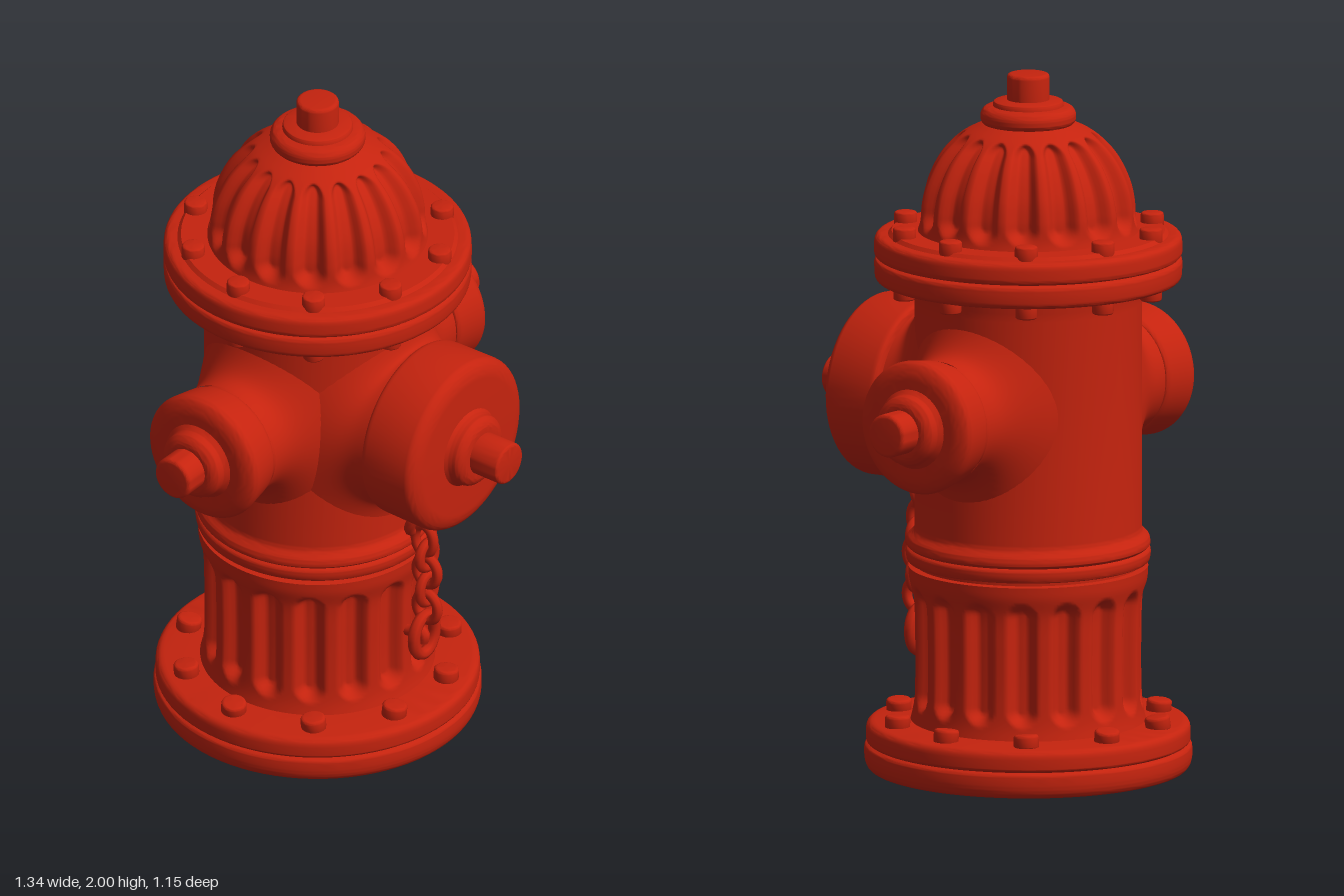
import * as THREE from 'three';
import { toCreasedNormals } from 'three/addons/utils/BufferGeometryUtils.js';

const red = new THREE.MeshStandardMaterial({ color: 0xc5230e });
red.name = 'hydrant red';

const AXIS_Z = -0.11;
const BODY_R = 0.32;

function add(parent, name, geometry) {
  const mesh = new THREE.Mesh(geometry, red);
  mesh.name = name;
  parent.add(mesh);
  return mesh;
}

// Turned solid from [radius, height, corner rounding] points
function turned(profile, segments = 64) {
  const pts = [];
  profile.forEach(([r, y, b = 0], i) => {
    const p = new THREE.Vector2(r, y);
    if (!b) return pts.push(p);
    const toward = ([qr, qy]) => {
      const d = new THREE.Vector2(qr, qy).sub(p);
      return p.clone().addScaledVector(d.clone().normalize(), Math.min(b, d.length() * 0.5));
    };
    const a = toward(profile[i - 1]), c = toward(profile[i + 1]);
    pts.push(...new THREE.QuadraticBezierCurve(a, p, c).getPoints(5));
  });
  return toCreasedNormals(new THREE.LatheGeometry(pts, segments), 0.6);
}

// Turned shell with 16 capsule-shaped flutes pressed in between y0 and y1
function fluted(curvePoints, y0, y1, depth, width) {
  const curve = new THREE.CatmullRomCurve3(curvePoints.map(([r, y]) => new THREE.Vector3(r, y, 0)));
  const pts = curve.getSpacedPoints(56).map(p => new THREE.Vector2(p.x, p.y));
  const geo = new THREE.LatheGeometry(pts, 256);
  const pos = geo.attributes.position;
  const pitch = Math.PI / 8;
  for (let i = 0; i < pos.count; i++) {
    const x = pos.getX(i), y = pos.getY(i), z = pos.getZ(i);
    const r = Math.hypot(x, z);
    const phi = (Math.atan2(x, z) + Math.PI * 2) % pitch;
    const across = (phi - pitch / 2) * r;
    const w = width * Math.min(1, r / 0.3);
    const along = Math.max(y0 + w - y, y - (y1 - w), 0);
    const k = 1 - THREE.MathUtils.smoothstep(Math.hypot(across, along) / w, 0.35, 1);
    const s = 1 - depth * k / r;
    pos.setXYZ(i, x * s, y, z * s);
  }
  geo.computeVertexNormals();
  return geo;
}

// Flared neck that blends from the barrel out to radius R at distance L
function neckGeometry(R, flare, L) {
  const pts = [];
  for (let i = 0; i <= 16; i++) pts.push(new THREE.Vector2(1, i / 16));
  const geo = new THREE.LatheGeometry(pts, 72);
  const pos = geo.attributes.position;
  for (let i = 0; i < pos.count; i++) {
    const t = pos.getY(i);
    const rho = R + flare * (1 - t) ** 3;
    const x = pos.getX(i) * rho, z = pos.getZ(i) * rho;
    const surface = Math.sqrt(BODY_R ** 2 - x * x) - 0.004;
    pos.setXYZ(i, x, surface + (L - surface) * t, z);
  }
  geo.computeVertexNormals();
  return geo;
}

// Outlet facing +z: neck, cap, washer and nut
function outlet(name, y, turn, o) {
  const group = new THREE.Group();
  group.name = name;
  group.position.y = y;
  group.rotation.y = turn;
  const { R, flare, neck, capIn, capOut, end, washer, tip } = o;
  add(group, 'outletNeck', neckGeometry(R, flare, neck));
  add(group, 'outletCap', turned([
    [0, neck - 0.02], [R - 0.01, neck - 0.02], [R - 0.01, neck + 0.006], [capIn, neck + 0.006, 0.02],
    [capOut, end - 0.02, 0.02], [capOut - 0.035, end, 0.02], [0, end]]));
  add(group, 'capNut', turned([
    [0.125, end - 0.01], [washer, end + 0.012, 0.01], [washer, end + 0.035, 0.012],
    [washer - 0.022, end + 0.05, 0.008], [0.062, end + 0.05], [0.062, tip, 0.012], [0, tip]], 40));
  group.children.forEach(m => { m.rotation.x = Math.PI / 2; });
  return group;
}

function boltRing(parent, name, count, radius, y, size, height, tilt = 0) {
  const geo = turned([[0, -height / 2], [size, -height / 2, 0.008], [size, height / 2, 0.01], [0, height / 2]], 16);
  for (let i = 0; i < count; i++) {
    const a = (i / count) * Math.PI * 2;
    const bolt = add(parent, name, geo);
    bolt.position.set(Math.cos(a) * radius, y, Math.sin(a) * radius);
    bolt.rotation.set(tilt * Math.sin(i * 3), 0, tilt * Math.cos(i * 5));
  }
}

// Oval chain link, long axis vertical
function link(parent, y, z, side, half, wide, tube, lean = 0) {
  const pts = [];
  for (let i = 0; i < 12; i++) {
    const a = (i / 12) * Math.PI * 2;
    pts.push(new THREE.Vector3(Math.cos(a) * wide, Math.sin(a) * half, 0));
  }
  const mesh = add(parent, 'chainLink',
    new THREE.TubeGeometry(new THREE.CatmullRomCurve3(pts, true), 32, tube, 8, true));
  mesh.position.set(0, y, z);
  mesh.rotation.set(lean, side ? Math.PI / 2 : 0, 0);
}

export function createModel() {
  const model = new THREE.Group();
  model.name = 'fireHydrant';
  const body = new THREE.Group();
  body.name = 'hydrantBody';
  body.position.z = AXIS_Z;
  model.add(body);

  // Double base plate
  add(body, 'basePlate', turned([
    [0, 0.005], [0.45, 0.005, 0.015], [0.462, 0.03, 0.015], [0.462, 0.075, 0.012], [0.447, 0.08],
    [0.457, 0.085, 0.006], [0.457, 0.142, 0.025], [0.3, 0.147], [0, 0.147]], 80));
  boltRing(body, 'baseBolt', 10, 0.385, 0.157, 0.036, 0.04, 0.12);

  // Fluted lower barrel
  add(body, 'lowerBarrel', fluted([
    [0.335, 0.13], [0.324, 0.18], [0.32, 0.25], [0.32, 0.4], [0.324, 0.5], [0.336, 0.555], [0.338, 0.588]],
    0.18, 0.54, 0.034, 0.046));

  // Upper barrel with its collar
  add(body, 'upperBarrel', turned([
    [0.3, 0.585], [0.338, 0.587], [0.318, 0.59], [0.318, 0.6], [0.342, 0.602, 0.008], [0.347, 0.635, 0.02],
    [0.335, 0.642], [0.345, 0.65, 0.005], [0.342, 0.672, 0.01], [0.32, 0.69, 0.015], [BODY_R, 1.36, 0.02],
    [0.328, 1.42]], 80));

  // Double top flange
  add(body, 'topFlange', turned([
    [0.3, 1.408], [0.432, 1.408, 0.018], [0.435, 1.47, 0.018], [0.415, 1.475],
    [0.435, 1.48, 0.014], [0.433, 1.54, 0.022], [0.395, 1.54], [0.385, 1.55], [0, 1.55]], 80));
  boltRing(body, 'upperFlangeBolt', 10, 0.365, 1.556, 0.033, 0.046);
  boltRing(body, 'lowerFlangeBolt', 10, 0.365, 1.395, 0.031, 0.05);

  // Fluted dome
  add(body, 'dome', fluted([
    [0.315, 1.535], [0.306, 1.57], [0.302, 1.63], [0.288, 1.69], [0.25, 1.765], [0.195, 1.822],
    [0.14, 1.852], [0.1, 1.868]], 1.56, 1.835, 0.034, 0.05));

  // Operating nut on top
  add(body, 'topNut', turned([
    [0.12, 1.85], [0.135, 1.866, 0.008], [0.135, 1.89, 0.01], [0.122, 1.905, 0.008], [0.1, 1.908],
    [0.098, 1.922, 0.006], [0.06, 1.926], [0.06, 2.0, 0.012], [0, 2.0]], 40));

  // Large front outlet and two side outlets
  body.add(outlet('frontOutlet', 1.047, 0,
    { R: 0.24, flare: 0.07, neck: 0.345, capIn: 0.258, capOut: 0.261, end: 0.54, washer: 0.106, tip: 0.685 }));
  for (const [name, side] of [['leftOutlet', 1], ['rightOutlet', -1]]) {
    body.add(outlet(name, 1.067, side * Math.PI / 2,
      { R: 0.172, flare: 0.085, neck: 0.415, capIn: 0.175, capOut: 0.194, end: 0.548, washer: 0.1, tip: 0.67 }));
  }

  // Chain hanging below the front outlet
  const chain = new THREE.Group();
  chain.name = 'chain';
  model.add(chain);
  link(chain, 0.745, 0.255, false, 0.055, 0.04, 0.016, 0.4);
  link(chain, 0.675, 0.27, true, 0.046, 0.032, 0.015);
  link(chain, 0.625, 0.28, false, 0.04, 0.034, 0.015);
  link(chain, 0.572, 0.28, true, 0.044, 0.037, 0.015);
  link(chain, 0.513, 0.28, false, 0.045, 0.033, 0.015);
  link(chain, 0.452, 0.28, true, 0.044, 0.037, 0.015);
  link(chain, 0.355, 0.27, false, 0.062, 0.047, 0.018);
  // Hook holding the end ring to the barrel
  const hook = new THREE.CatmullRomCurve3([[0.18, 0.345], [0.225, 0.35], [0.255, 0.365], [0.27, 0.35], [0.265, 0.33]]
    .map(([z, y]) => new THREE.Vector3(0, y, z)));
  add(chain, 'chainHook', new THREE.TubeGeometry(hook, 16, 0.017, 8));

  return model;
}
